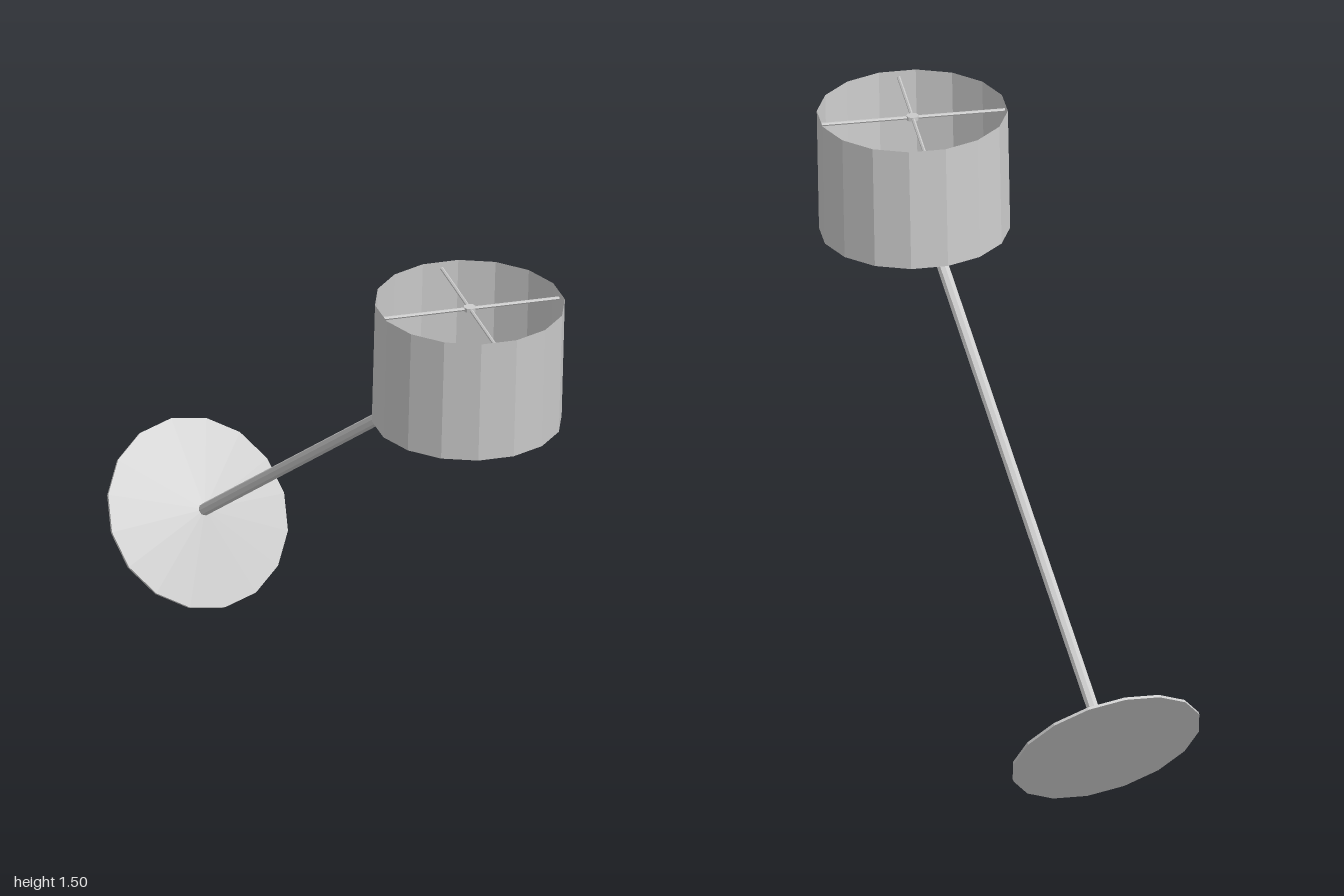
import * as THREE from 'three';

const material = new THREE.MeshStandardMaterial({ color: 0xcccccc, flatShading: true });
const openMaterial = new THREE.MeshStandardMaterial({ color: 0xcccccc, flatShading: true, side: THREE.DoubleSide });

function add(parent, name, geometry, mat = material) {
  const mesh = new THREE.Mesh(geometry, mat);
  mesh.name = name;
  parent.add(mesh);
  return mesh;
}

// Four thin rods meeting at a small hub, holding one rim of the shade
function makeSpider(name, y, radius) {
  const spider = new THREE.Group();
  spider.name = name;
  spider.position.y = y;
  spider.rotation.y = -0.21;
  for (let i = 0; i < 2; i++) {
    const rod = add(spider, 'spoke', new THREE.CylinderGeometry(0.005, 0.005, radius * 2, 6));
    rod.rotation.set(i ? Math.PI / 2 : 0, 0, i ? 0 : Math.PI / 2);
  }
  add(spider, 'hub', new THREE.CylinderGeometry(0.018, 0.018, 0.012, 8));
  return spider;
}

export function createModel() {
  const model = new THREE.Group();
  model.name = 'leaningLamp';

  // Stand: shallow cone base and pole sharing one leaning axis
  const stand = new THREE.Group();
  stand.name = 'stand';
  stand.position.set(0, 0.236, -0.837);
  stand.rotation.x = 0.983;
  model.add(stand);

  const baseProfile = [[0, 0], [0.28, 0], [0.28, 0.008], [0.017, 0.052], [0, 0.052]]
    .map(([r, y]) => new THREE.Vector2(r, y));
  add(stand, 'base', new THREE.LatheGeometry(baseProfile, 16));

  const poleStart = 0.03, poleEnd = 1.71;
  const pole = add(stand, 'pole', new THREE.CylinderGeometry(0.018, 0.018, poleEnd - poleStart, 8));
  pole.position.y = (poleStart + poleEnd) / 2;

  // Open drum shade, tipped slightly forward
  const shade = new THREE.Group();
  shade.name = 'lampShade';
  shade.position.set(0, 1.309, 0.724);
  shade.rotation.x = 0.05;
  model.add(shade);

  const radius = 0.271, height = 0.367;
  add(shade, 'drum', new THREE.CylinderGeometry(radius, radius, height, 16, 1, true), openMaterial);
  shade.add(makeSpider('upperSpider', height / 2 - 0.02, radius - 0.006));
  shade.add(makeSpider('lowerSpider', -height / 2 + 0.02, radius - 0.006));

  return model;
}
